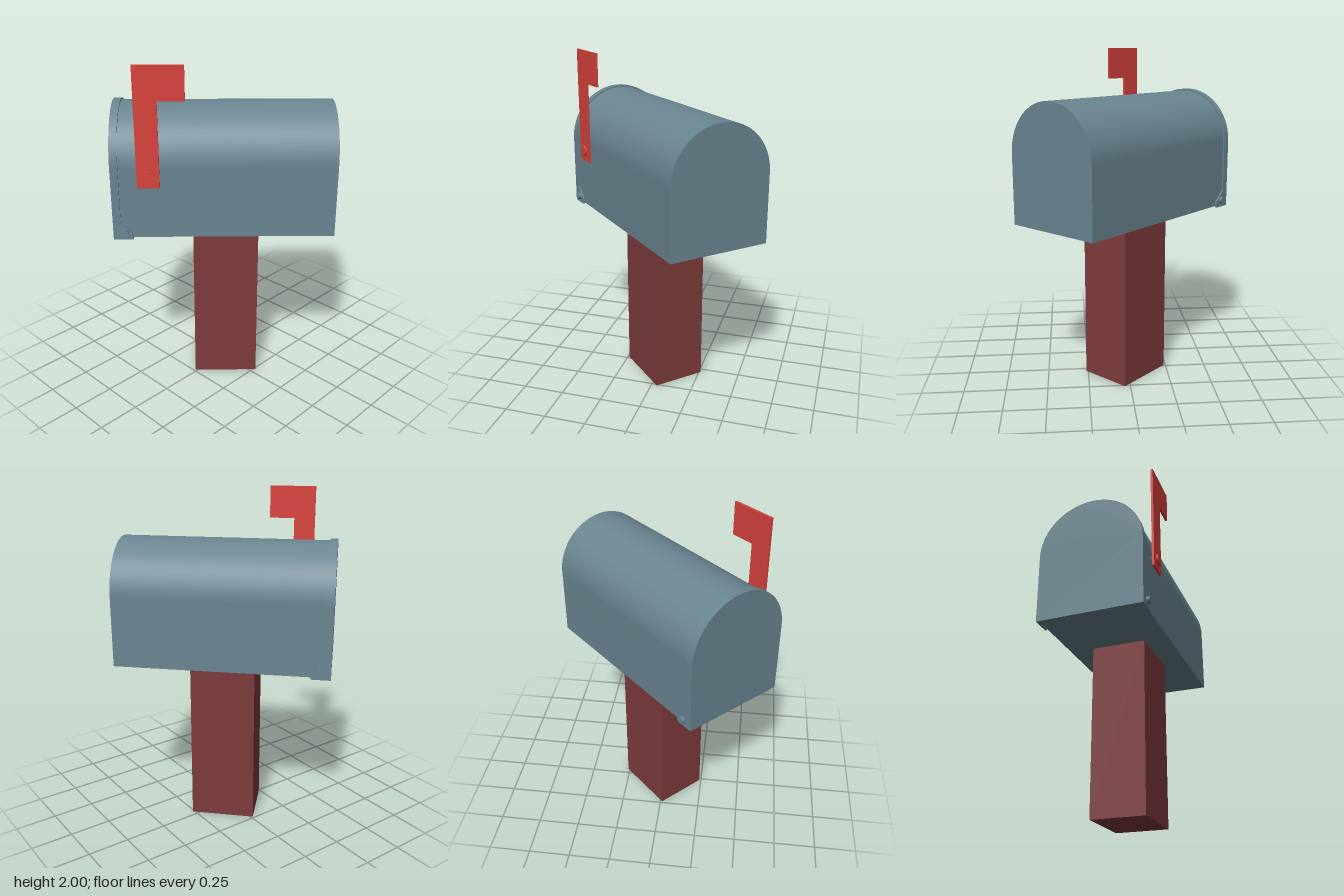
import * as THREE from 'three';
import { toCreasedNormals } from 'three/addons/utils/BufferGeometryUtils.js';

const steel = new THREE.MeshStandardMaterial({ color: 0x6a8591 });
steel.name = 'blue grey steel';
const wood = new THREE.MeshStandardMaterial({ color: 0x7e3b3c });
wood.name = 'dark red wood';
const red = new THREE.MeshStandardMaterial({ color: 0xd8423c });
red.name = 'flag red';

// Round-topped outline: straight sides from the bottom, half circle above
function archShape(radius, bottom, spring) {
  const s = new THREE.Shape();
  s.moveTo(-radius, bottom);
  s.lineTo(radius, bottom);
  s.lineTo(radius, spring);
  s.absarc(0, spring, radius, 0, Math.PI, false);
  s.closePath();
  return s;
}

function extrude(shape, depth) {
  const g = new THREE.ExtrudeGeometry(shape, { depth, bevelEnabled: false, curveSegments: 32 });
  return toCreasedNormals(g, 0.6);
}

// Side plate drawn as [z, y] points, lying between x0 and x0 + depth
function sidePlate(points, x0, depth) {
  const shape = new THREE.Shape(points.map(([z, y]) => new THREE.Vector2(-z, y)));
  return extrude(shape, depth).rotateY(Math.PI / 2).translate(x0, 0, 0);
}

// Round pin along x
function pin(radius, x0, x1, y, z) {
  return new THREE.CylinderGeometry(radius, radius, x1 - x0, 20)
    .rotateZ(Math.PI / 2).translate((x0 + x1) / 2, y, z);
}

export function createModel() {
  const model = new THREE.Group();
  model.name = 'mailbox';
  const turned = new THREE.Group();
  turned.name = 'turnedMailbox';
  turned.rotation.y = -Math.PI / 4;
  model.add(turned);

  const add = (name, geometry, material) => {
    const mesh = new THREE.Mesh(geometry, material);
    mesh.name = name;
    turned.add(mesh);
  };

  // Post
  add('post', new THREE.BoxGeometry(0.322, 1.02, 0.386).translate(0, 0.51, -0.016), wood);

  // Box body and the slightly larger door cap
  add('body', extrude(archShape(0.304, 1.02, 1.428), 1.22).translate(0, 0, -0.633), steel);
  add('door', extrude(archShape(0.314, 1.01, 1.428), 0.044).translate(0, 0, 0.579), steel);

  // Hinge tabs and pins on both sides of the door
  const tab = [[0.585, 1.01], [0.51, 1.01], [0.51, 1.05], [0.579, 1.11], [0.585, 1.11]];
  for (const side of [-1, 1]) {
    const label = side > 0 ? 'left' : 'right';
    add(label + 'HingeTab', sidePlate(tab, side > 0 ? 0.303 : -0.314, 0.011), steel);
    const [a, b] = side > 0 ? [0.3, 0.333] : [-0.333, -0.3];
    add(label + 'HingePin', pin(0.021, a, b, 1.053, 0.558), steel);
  }

  // Raised signal flag with its pivot bolt
  const flag = [[0.475, 1.325], [0.475, 2], [0.202, 2], [0.202, 1.81], [0.35, 1.81], [0.35, 1.325]];
  add('flag', sidePlate(flag, 0.315, 0.014), red);
  add('flagBolt', pin(0.034, 0.3, 0.342, 1.39, 0.412), red);

  return model;
}
